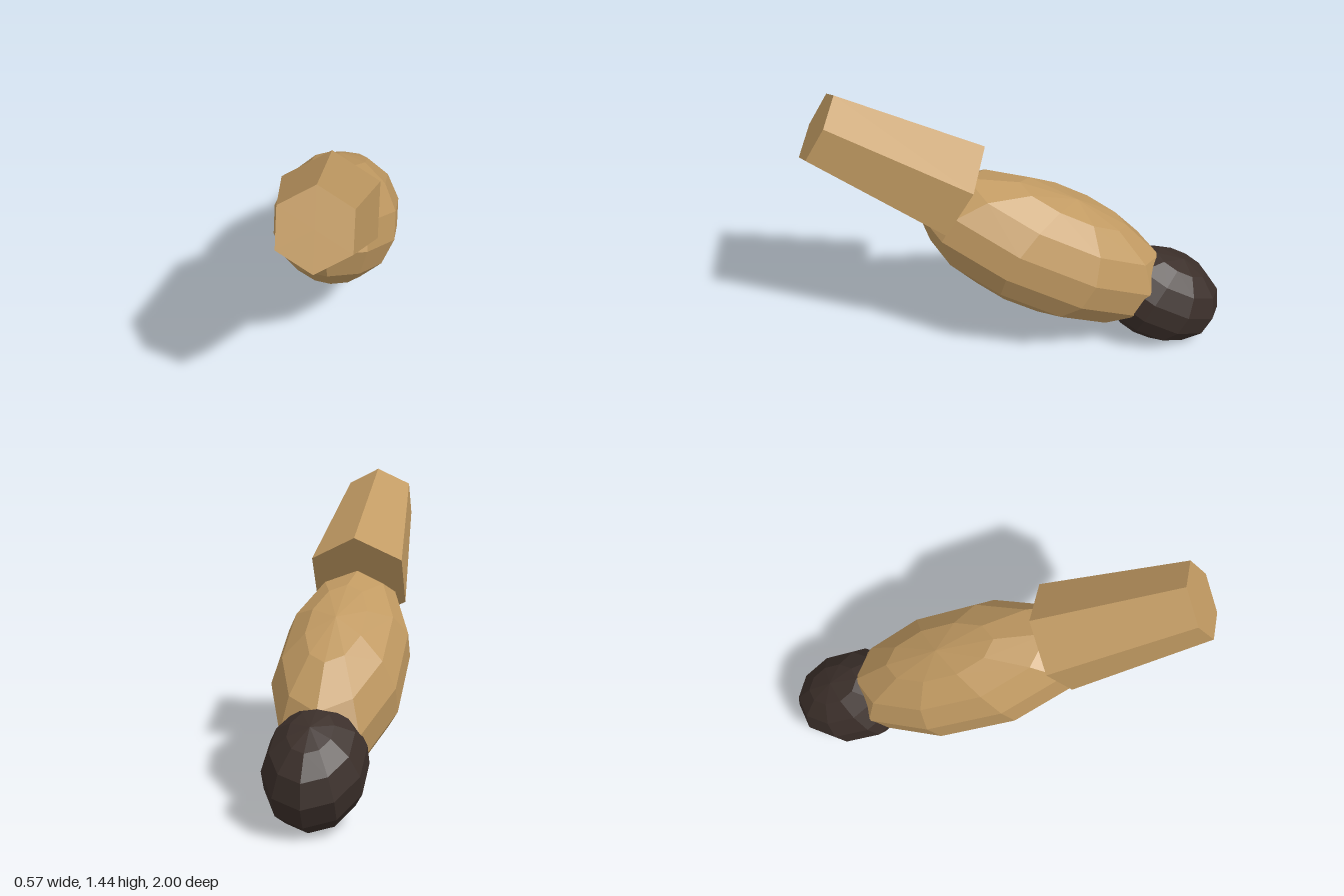
import * as THREE from 'three';

const tan = new THREE.MeshStandardMaterial({ color: 0xc19a62, flatShading: true });
const dark = new THREE.MeshStandardMaterial({ color: 0x3b2f2a, flatShading: true });
const TILT = THREE.MathUtils.degToRad(28);

// Low-poly ellipsoid, long along its own z, pitched so its front end rises
function ellipsoid(name, material, radius, halfLength, y, z) {
  const geometry = new THREE.SphereGeometry(1, 10, 7);
  geometry.rotateY(Math.PI / 2);
  geometry.scale(radius, radius, halfLength);
  const mesh = new THREE.Mesh(geometry, material);
  mesh.name = name;
  mesh.position.set(0, y, z);
  mesh.rotation.x = -TILT;
  return mesh;
}

export function createModel() {
  const group = new THREE.Group();
  group.name = 'jointedLimb';

  // Rounded middle and dark end
  group.add(ellipsoid('middleSegment', tan, 0.31, 0.67, 0.569, -0.127));
  group.add(ellipsoid('darkTip', dark, 0.232, 0.32, 0.257, -0.698));

  // Tapered six-sided bar rising to the front, narrow end outward
  const bar = new THREE.Mesh(new THREE.CylinderGeometry(0.181, 0.256, 0.72, 6), tan);
  bar.name = 'taperedSegment';
  bar.position.set(0, 1.113, 0.598);
  bar.rotation.x = Math.PI / 3;
  group.add(bar);

  return group;
}
